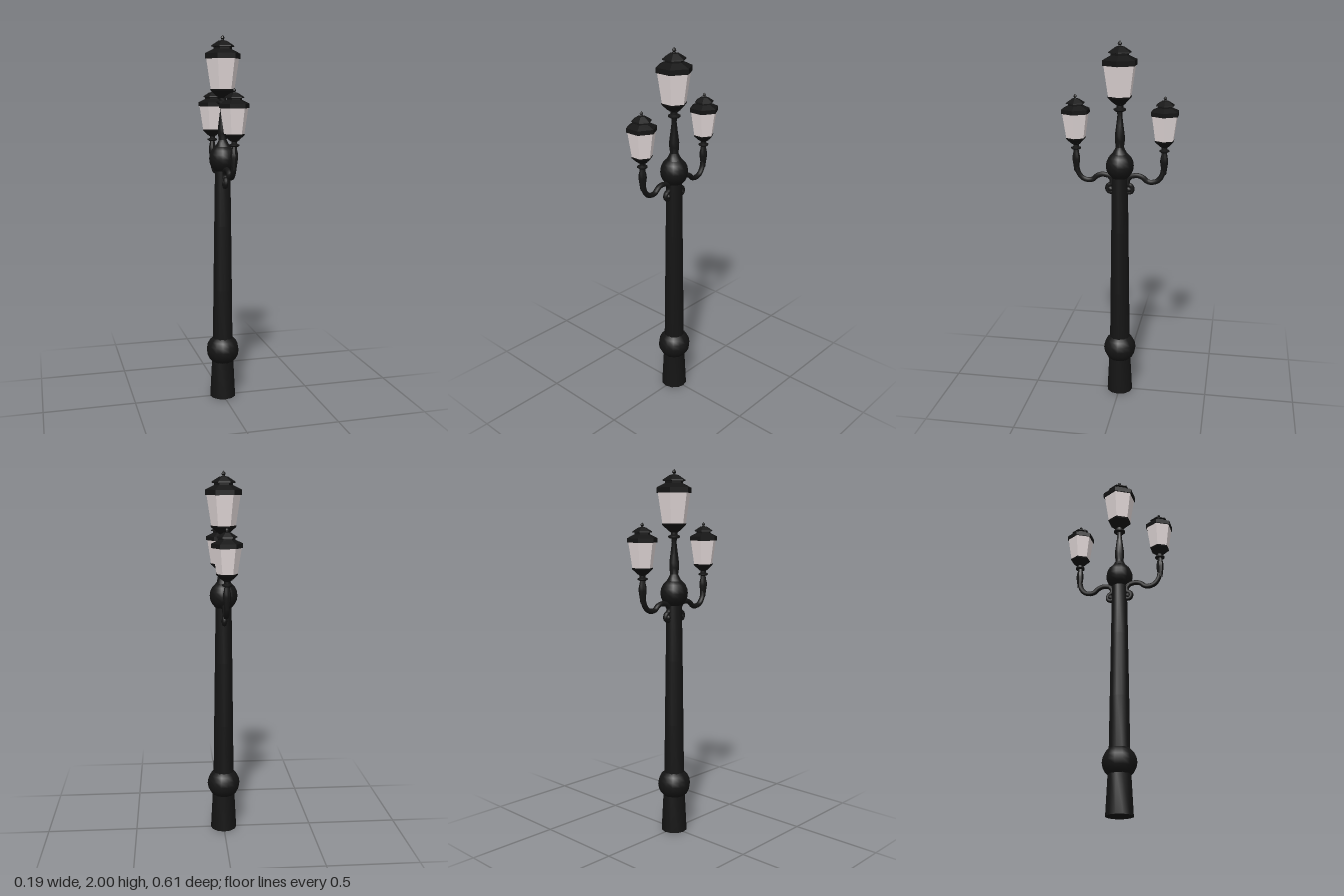
import * as THREE from 'three';
import { toCreasedNormals } from 'three/addons/utils/BufferGeometryUtils.js';

const iron = new THREE.MeshStandardMaterial({ color: 0x141414 });
const ironFlat = new THREE.MeshStandardMaterial({ color: 0x141414, flatShading: true });
const glass = new THREE.MeshStandardMaterial({ color: 0xe4dada, flatShading: true });

function named(name, geometry, material) {
  const mesh = new THREE.Mesh(geometry, material);
  mesh.name = name;
  return mesh;
}

// Turned part from [radius, height] pairs, listed bottom to top
function turned(name, profile, sides = 12) {
  const points = profile.map(([r, y]) => new THREE.Vector2(r, y));
  return named(name, toCreasedNormals(new THREE.LatheGeometry(points, sides), 0.7), iron);
}

// Six-sided part with corners towards +x and -x
function hexagonal(name, profile, material) {
  const points = profile.map(([r, y]) => new THREE.Vector2(r, y));
  return named(name, new THREE.LatheGeometry(points, 6, Math.PI / 6), material);
}

function ball(name, radius, height, y) {
  const mesh = named(name, new THREE.SphereGeometry(radius, 14, 10), iron);
  mesh.scale.y = height / radius;
  mesh.position.y = y;
  return mesh;
}

function createLantern(name) {
  const lantern = new THREE.Group();
  lantern.name = name;
  lantern.add(
    turned('collar', [[0, 0], [0.022, 0], [0.033, 0.007], [0.033, 0.014], [0.018, 0.021],
      [0.018, 0.032], [0.034, 0.043], [0, 0.043]], 10),
    hexagonal('cup', [[0, 0.04], [0.034, 0.043], [0.066, 0.072], [0.069, 0.08], [0, 0.08]], ironFlat),
    hexagonal('panes', [[0.065, 0.078], [0.09, 0.241]], glass),
    hexagonal('roof', [[0, 0.238], [0.097, 0.238], [0.097, 0.265], [0.05, 0.288], [0.05, 0.298],
      [0.064, 0.3], [0.062, 0.306], [0.024, 0.33], [0, 0.335]], ironFlat),
    turned('finial', [[0.012, 0.327], [0.006, 0.337], [0.011, 0.344], [0.008, 0.352], [0, 0.361]], 8)
  );
  return lantern;
}

// Arm reaching along +z, with its scroll, socket and lantern
function createArm(name) {
  const arm = new THREE.Group();
  arm.name = name;
  const path = (pairs) => new THREE.CatmullRomCurve3(pairs.map(([z, y]) => new THREE.Vector3(0, y, z)));
  const bracket = path([[0.03, 1.28], [0.06, 1.292], [0.095, 1.298], [0.125, 1.288], [0.148, 1.268],
    [0.175, 1.264], [0.205, 1.275], [0.227, 1.305], [0.235, 1.345], [0.237, 1.37]]);
  const scroll = path([[0.06, 1.292], [0.043, 1.27], [0.046, 1.248], [0.062, 1.238],
    [0.068, 1.22], [0.058, 1.204], [0.042, 1.204], [0.036, 1.218]]);
  const scrollEnd = named('scrollEnd', new THREE.SphereGeometry(0.018, 8, 6), iron);
  scrollEnd.position.set(0, 1.219, 0.05);
  const socket = turned('socket', [[0.012, 1.31], [0.016, 1.34], [0.021, 1.375], [0.021, 1.39],
    [0.016, 1.412], [0.013, 1.432]], 8);
  socket.position.z = 0.237;
  const lantern = createLantern('sideLantern');
  lantern.scale.setScalar(0.82);
  lantern.position.set(0, 1.429, 0.237);
  arm.add(
    named('bracket', new THREE.TubeGeometry(bracket, 28, 0.014, 8), iron),
    named('scroll', new THREE.TubeGeometry(scroll, 20, 0.013, 8), iron),
    scrollEnd, socket, lantern
  );
  return arm;
}

export function createModel() {
  const model = new THREE.Group();
  model.name = 'streetLamp';

  // Column
  model.add(
    turned('foot', [[0, 0], [0.073, 0], [0.062, 0.21]]),
    ball('lowerBall', 0.091, 0.09, 0.272),
    turned('post', [[0.057, 0.33], [0.053, 0.62], [0.048, 0.98], [0.043, 1.3]]),
    ball('upperBall', 0.075, 0.08, 1.348),
    turned('stem', [[0.05, 1.4], [0.032, 1.43], [0.022, 1.45], [0.027, 1.485], [0.027, 1.51],
      [0.019, 1.57], [0.013, 1.62], [0.016, 1.642]])
  );

  // Central lantern
  const top = createLantern('topLantern');
  top.position.y = 1.639;
  model.add(top);

  // Front and back arms
  const front = createArm('frontArm');
  const back = createArm('backArm');
  back.rotation.y = Math.PI;
  model.add(front, back);
  return model;
}
